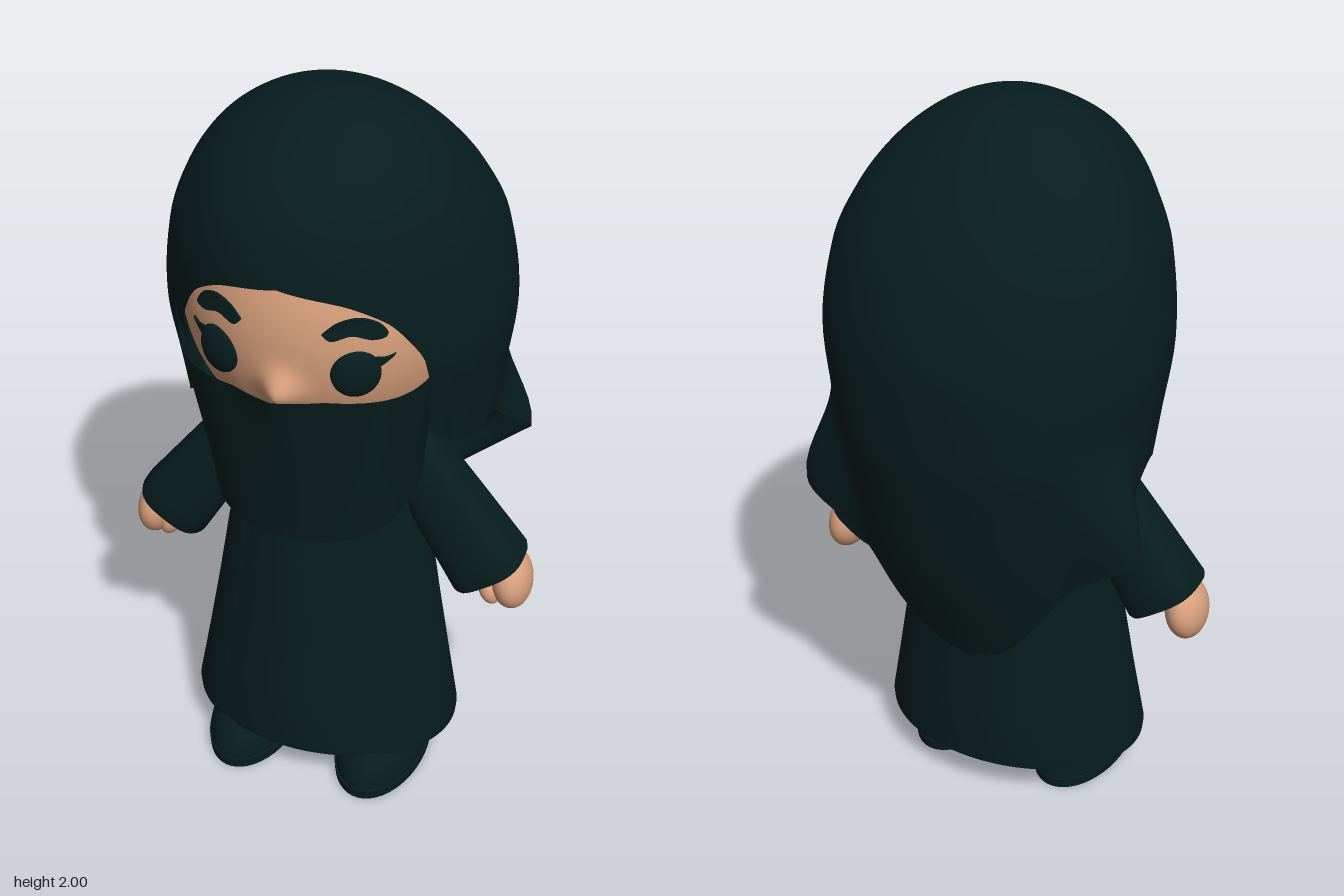
import * as THREE from 'three';
import { mergeVertices, toCreasedNormals } from 'three/addons/utils/BufferGeometryUtils.js';

const { sin, cos, sqrt, abs, exp, PI } = Math;
const step = THREE.MathUtils.smoothstep;

// smooth curve through [x, y] points that never overshoots
function curve(pts) {
  const d = pts.slice(1).map((p, i) => (p[1] - pts[i][1]) / (p[0] - pts[i][0]));
  const m = pts.map((_, i) => {
    const a = d[Math.max(i - 1, 0)], b = d[Math.min(i, d.length - 1)];
    return a * b <= 0 ? 0 : (2 * a * b) / (a + b);
  });
  return (x) => {
    let i = 0;
    while (i < d.length - 1 && x > pts[i + 1][0]) i++;
    const h = pts[i + 1][0] - pts[i][0];
    const t = THREE.MathUtils.clamp((x - pts[i][0]) / h, 0, 1), t2 = t * t, t3 = t2 * t;
    return (2 * t3 - 3 * t2 + 1) * pts[i][1] + (t3 - 2 * t2 + t) * h * m[i]
      + (3 * t2 - 2 * t3) * pts[i + 1][1] + (t3 - t2) * h * m[i + 1];
  };
}

// grid surface: u runs from the model's right to its left, v runs downwards
function surface(nu, nv, fn, crease = 0.9) {
  const pos = [], idx = [];
  for (let i = 0; i <= nv; i++) for (let j = 0; j <= nu; j++) pos.push(...fn(j / nu, i / nv));
  for (let i = 0; i < nv; i++) for (let j = 0; j < nu; j++) {
    const a = i * (nu + 1) + j, b = a + nu + 1;
    idx.push(a, b, a + 1, b, b + 1, a + 1);
  }
  const g = new THREE.BufferGeometry();
  g.setAttribute('position', new THREE.Float32BufferAttribute(pos, 3));
  g.setIndex(idx);
  return toCreasedNormals(mergeVertices(g, 1e-5), crease);
}

// closed loft through oval rows [y, half width, front z, back z], listed top to bottom
function loft(rows, nu, shape = () => 1) {
  return surface(nu, rows.length - 1, (u, v) => {
    const [y, w, f, b] = rows[Math.round(v * (rows.length - 1))];
    const a = (u * 2 - 1) * PI, s = shape(abs(a)), c = (f + b) / 2;
    return [w * s * sin(a), y, c + ((f - b) / 2) * s * cos(a)];
  });
}

// hood cross-sections: y, half width, front z, back z, centre z
const HOOD = [
  [2, 0, 0.03, 0.03, 0.03], [1.95, 0.178, 0.2, -0.135, 0.02], [1.85, 0.293, 0.335, -0.255, -0.01],
  [1.75, 0.357, 0.392, -0.335, -0.04], [1.62, 0.408, 0.415, -0.4, -0.07], [1.4, 0.435, 0.385, -0.445, -0.08],
  [1.2, 0.413, 0.33, -0.44, -0.08], [1, 0.39, 0.28, -0.402, -0.08], [0.8, 0.37, 0.25, -0.353, -0.07],
  [0.49, 0.34, 0.2, -0.238, -0.04],
];
const [hw, hf, hb, hc] = [1, 2, 3, 4].map((k) => curve(HOOD.map((r) => [sqrt(2 - r[0]), r[k]])));
function hoodPoint(a, y, scale) {
  const q = sqrt(Math.max(0, 2 - y)), c = hc(q), A = abs(a);
  const corner = 0.33 * exp(-(((A - 2) / 0.2) ** 2)) * (1 - step(y, 0.92, 1.25));
  const s = scale + corner;
  return [hw(q) * s * sin(a), y, c + s * cos(a) * (cos(a) > 0 ? hf(q) - c : c - hb(q))];
}
// hem heights by angle from the front
const veilHem = curve([[0, 1.76], [0.35, 1.73], [0.6, 1.66], [0.8, 1.53], [0.92, 1.37], [0.99, 1.12], [1.3, 1.08],
  [1.45, 1.1], [1.75, 1.03], [2, 0.93], [2.3, 0.79], [2.6, 0.635], [2.87, 0.53], [PI, 0.49]]);
const bandHem = curve([[0, 1.64], [0.35, 1.61], [0.6, 1.55], [0.75, 1.46], [0.83, 1.38], [0.88, 1.15], [1.2, 1.1]]);
const veilPoint = (a, y) =>
  hoodPoint(a, y, 1.025 + 0.015 * step(abs(a), 1.06, 1.13) * (1 - step(y, 1.75, 1.95)));

const HEAD = { y: 1.47, rx: 0.39, ry: 0.44, rz: 0.4 };
const faceZ = (x, y) => HEAD.rz * sqrt(Math.max(0, 1 - (x / HEAD.rx) ** 2 - ((y - HEAD.y) / HEAD.ry) ** 2));

// head open below the chin, with a small nose drawn out of the face
function headGeometry() {
  const g = new THREE.SphereGeometry(1, 128, 64, 0, PI * 2, 0, 2.2);
  g.scale(HEAD.rx, HEAD.ry, HEAD.rz);
  const p = g.attributes.position;
  for (let i = 0; i < p.count; i++) {
    const x = p.getX(i), y = p.getY(i) + HEAD.y, z = p.getZ(i);
    p.setXYZ(i, x, y, z + (z > 0 ? 0.055 * exp(-((x / 0.045) ** 2) - ((y - 1.345) / 0.05) ** 2) : 0));
  }
  g.computeVertexNormals();
  return g;
}

// thin plate bent to follow the face
function facePlate(points) {
  const shape = new THREE.Shape();
  shape.moveTo(...points[0]);
  shape.splineThru([...points.slice(1), points[0]].map((p) => new THREE.Vector2(...p)));
  const g = new THREE.ExtrudeGeometry(shape, { depth: 0.02, bevelEnabled: false, curveSegments: 24 });
  const p = g.attributes.position;
  for (let i = 0; i < p.count; i++) p.setZ(i, p.getZ(i) - 0.011 + faceZ(p.getX(i), p.getY(i)));
  g.computeVertexNormals();
  return g;
}

// sleeve from cuff to shoulder, with a slightly squared cross-section
function sleeveGeometry() {
  const g = new THREE.LatheGeometry([[0, 0.02], [0.09, 0.012], [0.104, 0], [0.109, 0.012], [0.106, 0.06],
    [0.097, 0.2], [0.086, 0.36], [0.074, 0.48], [0.045, 0.55], [0, 0.57]].map((p) => new THREE.Vector2(...p)), 40);
  const p = g.attributes.position;
  for (let i = 0; i < p.count; i++) {
    const x = p.getX(i), z = p.getZ(i), r = Math.hypot(x, z) || 1;
    const k = (abs(x / r) ** 3 + abs(z / r) ** 3 || 1) ** (-1 / 3);
    p.setXYZ(i, x * k, p.getY(i), z * k);
  }
  return toCreasedNormals(g, 0.9);
}

export function createModel() {
  const model = new THREE.Group();
  const cloth = new THREE.MeshStandardMaterial({ color: 0x071d1e, side: THREE.DoubleSide });
  cloth.name = 'dark teal';
  const skin = new THREE.MeshStandardMaterial({ color: 0xd9a07c });
  skin.name = 'skin';
  const add = (name, geo, mat, pos = [0, 0, 0], scale = [1, 1, 1], rot = [0, 0, 0]) => {
    const m = new THREE.Mesh(geo, mat);
    m.name = name;
    m.position.set(...pos);
    m.scale.set(...scale);
    m.rotation.set(...rot);
    model.add(m);
  };
  const ball = new THREE.SphereGeometry(1, 40, 28);

  // robe with a slightly sunken front panel
  add('robe', loft([
    [1.2, 0, 0.05, 0.05], [1.19, 0.13, 0.14, -0.07], [1.12, 0.2, 0.2, -0.11], [1, 0.225, 0.235, -0.15],
    [0.86, 0.25, 0.268, -0.18], [0.7, 0.28, 0.285, -0.2], [0.5, 0.312, 0.303, -0.208], [0.3, 0.347, 0.32, -0.214],
    [0.13, 0.378, 0.339, -0.22], [0.11, 0.376, 0.337, -0.218], [0.11, 0.34, 0.3, -0.19], [0.14, 0, 0.06, 0.06],
  ], 120, (a) => 0.98 + 0.02 * step(a, 0.7, 0.75)), cloth);

  add('head', headGeometry(), skin);

  // hood: under-band framing the face, then the long draped veil and its lining
  add('hoodBand', surface(80, 24, (u, v) => {
    const a = (u * 2 - 1) * 1.2;
    return hoodPoint(a, 1.86 - (1.86 - bandHem(abs(a))) * v, 1);
  }), cloth);
  add('veil', surface(180, 48, (u, v) => {
    const a = (u * 2 - 1) * PI;
    return veilPoint(a, 2 - (2 - veilHem(abs(a))) * v * v);
  }, 1.2), cloth);
  add('veilLining', surface(120, 6, (u, v) => {
    const a = 1 + u * (2 * PI - 2), A = PI - abs(PI - a), y = veilHem(A);
    const [x, , z] = veilPoint(a, y);
    const inner = -0.19 + (y - 0.49) * 0.31;
    return [x * (1 - 0.4 * v), y - 0.05 * sin(PI * (A - 1) / (PI - 1)) * v, z + (inner - z) * v];
  }), cloth);

  // face veil, peaked over the nose and hanging open below
  const maskW = curve([[0, 0.338], [0.35, 0.315], [0.75, 0.29], [1, 0.28]]);
  add('faceVeil', surface(72, 24, (u, v) => {
    const b = (u * 2 - 1) * PI / 2, s = abs(sin(b));
    const top = 1.342 + 0.014 * (1 - s) + 0.03 * s ** 10, bottom = 0.865 + 0.03 * s * s + 0.08 * s ** 10;
    const z1 = 0.17 - 0.06 * v, zf = 0.428 - 0.078 * v;
    const peak = 0.037 * Math.max(0, 1 - s / 0.35) * (1 - v) ** 2;
    return [maskW(v) * sin(b), top + (bottom - top) * v, z1 + (zf - z1) * cos(b) ** 0.9 + peak];
  }), cloth);

  const sleeve = sleeveGeometry();
  const shoe = loft([
    [0.15, 0, 0.1, 0.1], [0.145, 0.05, 0.2, -0.02], [0.12, 0.088, 0.28, -0.075], [0.09, 0.112, 0.325, -0.1],
    [0.05, 0.122, 0.345, -0.11], [0.03, 0.122, 0.347, -0.11], [0.028, 0.126, 0.352, -0.114],
    [0, 0.124, 0.35, -0.112], [0, 0, 0.1, 0.1],
  ], 48);

  for (const s of [-1, 1]) {
    const side = s > 0 ? 'left' : 'right';
    add(side + 'Sleeve', sleeve, cloth, [s * 0.46, 0.65, 0.03], [1, 1, 0.92], [0, 0, s * 0.607]);
    add(side + 'Hand', ball, skin, [s * 0.515, 0.63, 0.028], [0.055, 0.085, 0.083], [0, 0, s * 0.15]);
    add(side + 'Thumb', ball, skin, [s * 0.463, 0.605, 0.065], [0.028, 0.045, 0.034], [0, 0, s * 0.4]);
    add(side + 'Shoe', shoe, cloth, [s * 0.19, 0, 0]);
    // eyes, lashes and brows
    add(side + 'Eye', ball, cloth, [s * 0.175, 1.41, faceZ(0.175, 1.41) - 0.003], [0.062, 0.066, 0.026], [0, s * 0.45, 0]);
    const flip = (pts) => pts.map(([x, y]) => [s * x, y]);
    add(side + 'Lash', facePlate(flip([[0.21, 1.425], [0.235, 1.43], [0.26, 1.455], [0.24, 1.45], [0.21, 1.452]])), cloth);
    add(side + 'Brow', facePlate(flip([[0.102, 1.525], [0.125, 1.508], [0.17, 1.52], [0.215, 1.505], [0.243, 1.512],
      [0.222, 1.545], [0.18, 1.562], [0.135, 1.552]])), cloth);
  }
  return model;
}
